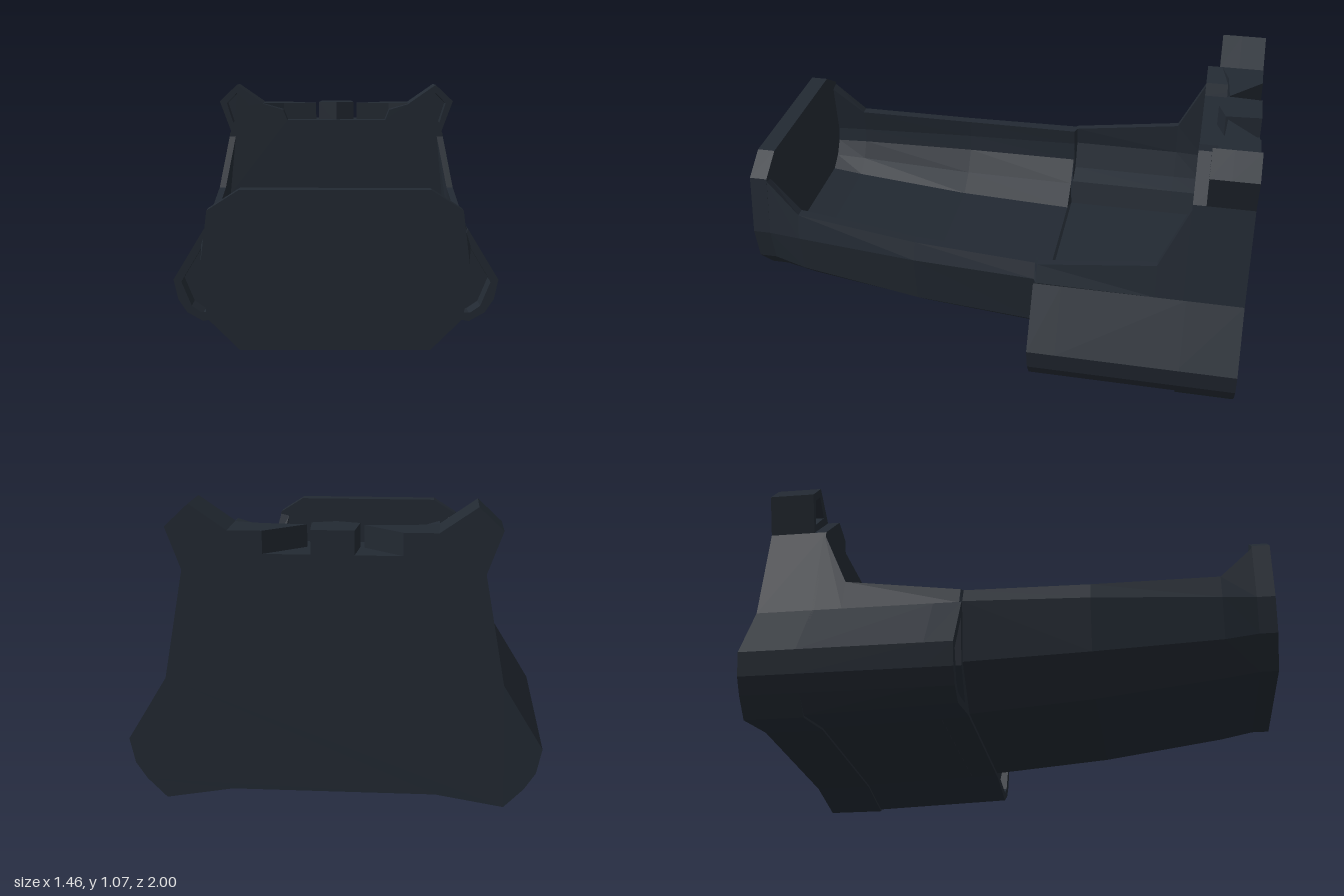
import * as THREE from 'three';

const material = new THREE.MeshStandardMaterial({ color: 0x222932, flatShading: true });

// Right-hand half outline -> full outline symmetric about x = 0
const flip = (pts) => pts.map(([x, y]) => [-x, y]).reverse();
const mirror = (half) => [...half, ...flip(half)];
const vec = (pts) => pts.map(([x, y]) => new THREE.Vector2(x, y));

// Flat outline extruded between two z positions, with optional holes
function slab(name, outline, zBack, zFront, holes = []) {
  const shape = new THREE.Shape(vec(outline));
  for (const h of holes) shape.holes.push(new THREE.Path(vec(h)));
  const geo = new THREE.ExtrudeGeometry(shape, { depth: zFront - zBack, bevelEnabled: false });
  geo.translate(0, 0, zBack);
  const mesh = new THREE.Mesh(geo, material);
  mesh.name = name;
  return mesh;
}

// Underside rises slightly towards the front
function raiseKeel(mesh) {
  const p = mesh.geometry.attributes.position;
  for (let i = 0; i < p.count; i++)
    if (p.getY(i) < 0.06) p.setY(i, p.getY(i) + 0.03 * (p.getZ(i) + 1) / 0.81);
  return mesh;
}

// Loft through closed rings of equal point count, listed front to back
function loft(name, rings) {
  const pos = [], idx = [], n = rings[0].pts.length;
  for (const { z, pts } of rings) for (const [x, y] of pts) pos.push(x, y, z);
  for (let i = 0; i < rings.length - 1; i++)
    for (let k = 0; k < n; k++) {
      const a = i * n + k, b = i * n + (k + 1) % n;
      idx.push(a, b, b + n, a, b + n, a + n);
    }
  const geo = new THREE.BufferGeometry();
  geo.setAttribute('position', new THREE.Float32BufferAttribute(pos, 3));
  geo.setIndex(idx);
  const flat = geo.toNonIndexed();
  flat.computeVertexNormals();
  const mesh = new THREE.Mesh(flat, material);
  mesh.name = name;
  return mesh;
}

export function createModel() {
  const model = new THREE.Group();
  model.name = 'cockpitHull';

  // Open tub: z, outer half section (rim, side, chine, keel),
  // inner half section (rim, side, ledge outside, ledge inside, floor)
  const noseIn = [[0.40, 0.68], [0.43, 0.46], [0.42, 0.40], [0.38, 0.34], [0.32, 0.30]];
  const stations = [
    [0.97, [[0.43, 0.68], [0.46, 0.46], [0.43, 0.325], [0.325, 0.22]], noseIn],
    [0.93, [[0.44, 0.69], [0.47, 0.46], [0.44, 0.32], [0.33, 0.21]], noseIn],
    [0.80, [[0.465, 0.56], [0.487, 0.46], [0.46, 0.295], [0.34, 0.187]], [[0.425, 0.56], [0.44, 0.46], [0.43, 0.40], [0.39, 0.33], [0.325, 0.28]]],
    [0.30, [[0.52, 0.53], [0.545, 0.46], [0.51, 0.25], [0.355, 0.12]], [[0.48, 0.53], [0.49, 0.45], [0.48, 0.38], [0.42, 0.29], [0.33, 0.23]]],
    [-0.19, [[0.55, 0.52], [0.575, 0.46], [0.53, 0.225], [0.36, 0.08]], [[0.50, 0.52], [0.51, 0.45], [0.50, 0.37], [0.43, 0.28], [0.33, 0.21]]],
    [-0.20, [[0.56, 0.52], [0.585, 0.45], [0.53, 0.225], [0.36, 0.08]], [[0.53, 0.52], [0.54, 0.44], [0.50, 0.33], [0.42, 0.30], [0.39, 0.20]]],
    [-0.66, [[0.565, 0.58], [0.59, 0.45], [0.53, 0.225], [0.36, 0.08]], [[0.535, 0.58], [0.54, 0.44], [0.50, 0.33], [0.42, 0.30], [0.39, 0.20]]],
    [-0.78, [[0.52, 0.84], [0.59, 0.45], [0.53, 0.225], [0.36, 0.08]], [[0.49, 0.84], [0.53, 0.44], [0.50, 0.33], [0.42, 0.30], [0.39, 0.20]]],
  ];
  model.add(loft('tub', stations.map(([z, outer, inner]) => ({
    z, pts: [...mirror(outer), ...mirror(inner).reverse()],
  }))));

  // Nose plate closing the front
  model.add(slab('nosePlate', mirror([
    [0.33, 0.21], [0.44, 0.32], [0.47, 0.46], [0.44, 0.70], [0.33, 0.77],
  ]), 0.93, 1));

  // Lower side pods joined under the belly, with recessed front faces
  const podEdge = [[0.36, 0.04], [0.60, 0], [0.67, 0.07], [0.71, 0.13], [0.73, 0.22], [0.59, 0.45]];
  const belly = mirror([...podEdge, [0.52, 0.24], [0.35, 0.10]]);
  const podHole = [[0.46, 0.085], [0.60, 0.065], [0.65, 0.10], [0.695, 0.21], [0.59, 0.385], [0.555, 0.20]];
  model.add(raiseKeel(slab('sidePods', belly, -0.78, -0.30)));
  model.add(raiseKeel(slab('sidePodFrames', belly, -0.30, -0.19, [podHole, flip(podHole)])));

  // Rear bulkhead
  model.add(slab('rearBulkhead', mirror([
    ...podEdge, [0.52, 0.84], [0.36, 0.98], [0.26, 0.95], [0.24, 0.90],
  ]), -1, -0.77));

  // Upper corner pods with recessed front faces
  const corner = [[0.36, 0.98], [0.40, 0.88], [0.52, 0.84], [0.575, 0.99], [0.49, 1.07]];
  const cornerHole = [[0.42, 0.97], [0.51, 0.885], [0.54, 0.98], [0.49, 1.03]];
  for (const [side, f] of [['left', (p) => p], ['right', flip]]) {
    model.add(slab(side + 'CornerPod', f(corner), -1, -0.90));
    model.add(slab(side + 'CornerPodFrame', f(corner), -0.90, -0.82, [f(cornerHole)]));
  }

  // Blocks along the top of the bulkhead: drawn in plan, raised in y
  const plan = (name, pts, y0, y1) => {
    const m = slab(name, pts.map(([x, z]) => [x, -z]), y0, y1);
    m.geometry.rotateX(-Math.PI / 2);
    model.add(m);
  };
  plan('centreBlock', [[-0.075, -1], [0.075, -1], [0.085, -0.86], [0, -0.83], [-0.085, -0.86]], 0.88, 0.985);
  const block = [[0.36, -1], [0.36, -0.83], [0.26, -0.86], [0.10, -0.87], [0.24, -1]];
  plan('leftTopBlock', block, 0.88, 0.98);
  plan('rightTopBlock', flip(block), 0.88, 0.98);

  return model;
}
